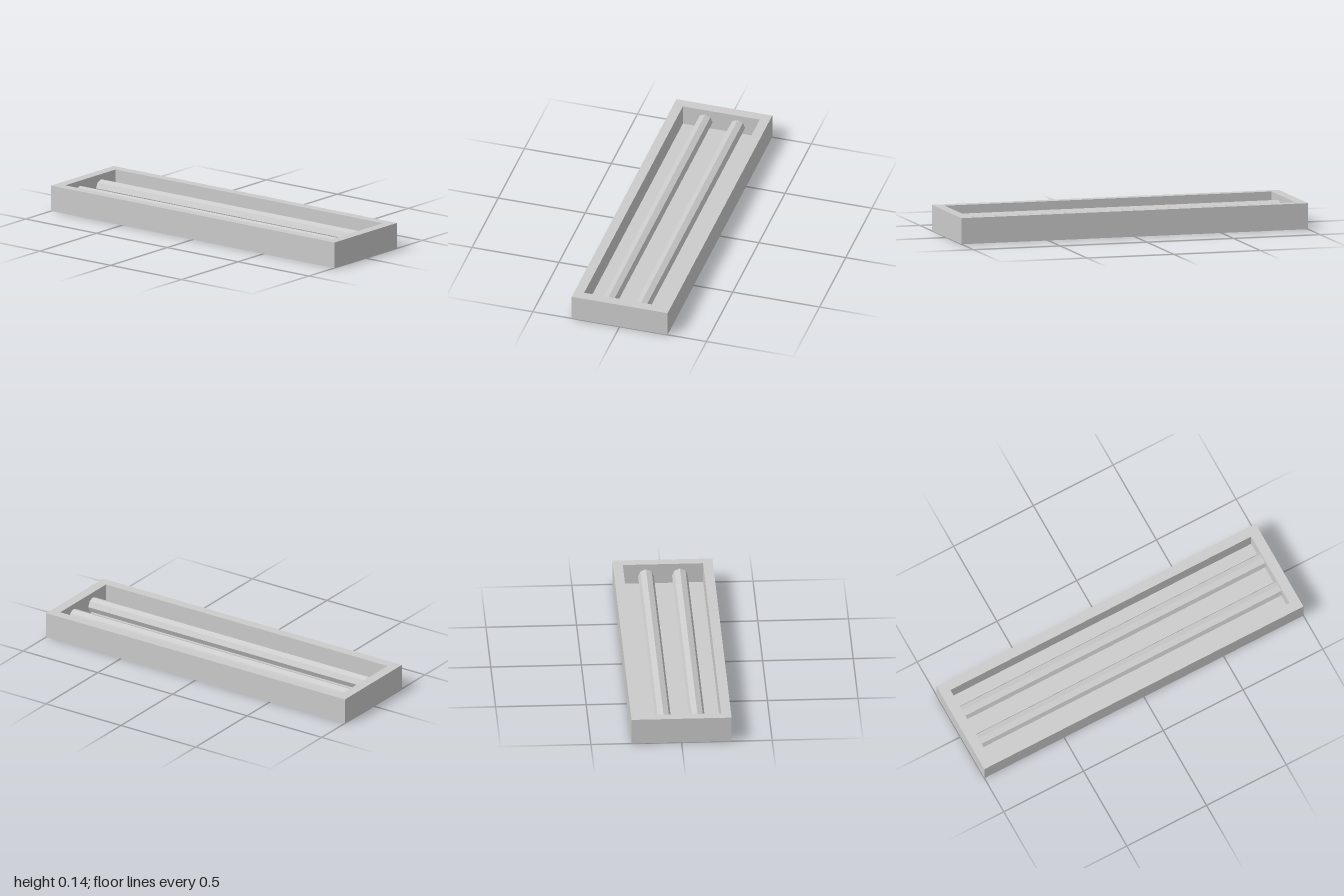
import * as THREE from 'three';

export function createModel() {
  const group = new THREE.Group();
  const material = new THREE.MeshStandardMaterial({ color: 0xcccccc, flatShading: true });

  const width = 2, depth = 0.552, height = 0.145; // outer housing
  const innerW = 1.886, innerD = 0.443, floorY = 0.03; // recess
  const tubeR = 0.0435, tubeY = height / 2, tubeZ = 0.0935;

  const add = (name, geometry, x, y, z) => {
    const mesh = new THREE.Mesh(geometry, material);
    mesh.name = name;
    mesh.position.set(x, y, z);
    group.add(mesh);
  };

  const rectangle = (PathType, w, d) => new PathType([
    new THREE.Vector2(-w / 2, -d / 2),
    new THREE.Vector2(w / 2, -d / 2),
    new THREE.Vector2(w / 2, d / 2),
    new THREE.Vector2(-w / 2, d / 2),
  ]);

  // Housing walls: a rectangular frame extruded upwards
  const outline = rectangle(THREE.Shape, width, depth);
  outline.holes.push(rectangle(THREE.Path, innerW, innerD));
  const walls = new THREE.ExtrudeGeometry(outline, { depth: height, bevelEnabled: false });
  walls.rotateX(-Math.PI / 2);
  add('housingWalls', walls, 0, 0, 0);

  // Floor of the recess
  add('housingFloor', new THREE.BoxGeometry(innerW, floorY, innerD), 0, floorY / 2, 0);

  // Two eight-sided lamp tubes running from end wall to end wall
  for (const [name, side] of [['frontTube', 1], ['backTube', -1]]) {
    const tube = new THREE.CylinderGeometry(tubeR, tubeR, innerW, 8);
    tube.rotateZ(Math.PI / 2);
    add(name, tube, 0, tubeY, side * tubeZ);
  }

  return group;
}
